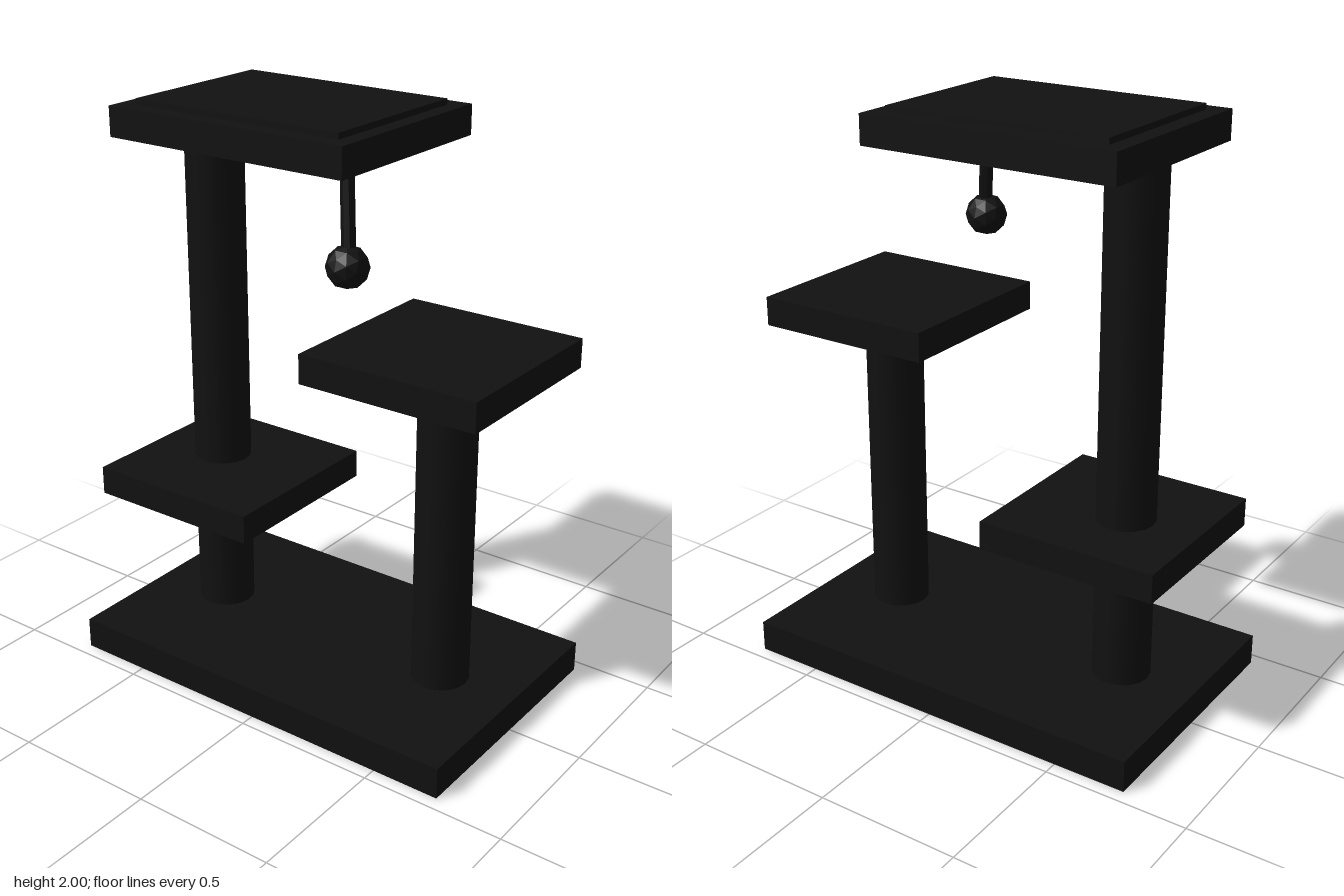
import * as THREE from 'three';

export function createModel() {
  const model = new THREE.Group();
  const material = new THREE.MeshStandardMaterial({ color: 0x111111 });
  const flat = new THREE.MeshStandardMaterial({ color: 0x111111, flatShading: true });

  const add = (name, geometry, mat = material) => {
    const mesh = new THREE.Mesh(geometry, mat);
    mesh.name = name;
    model.add(mesh);
    return mesh;
  };

  // Flat boards given by their extents
  const board = (name, [x0, x1], [y0, y1], [z0, z1]) =>
    add(name, new THREE.BoxGeometry(x1 - x0, y1 - y0, z1 - z0))
      .position.set((x0 + x1) / 2, (y0 + y1) / 2, (z0 + z1) / 2);

  board('base', [-0.755, 0.74], [0, 0.11], [-0.452, 0.452]);
  board('lowerPlatform', [-0.74, -0.1], [0.585, 0.685], [-0.29, 0.35]);
  board('sidePlatform', [0.11, 0.75], [1.2, 1.3], [-0.32, 0.32]);
  board('topPlatform', [-0.61, 0.295], [1.88, 1.98], [-0.35, 0.35]);
  board('topCushion', [-0.55, 0.24], [1.97, 2], [-0.29, 0.29]);

  // Round rod between two points
  const rod = (name, from, to, radius, sides, mat) => {
    const a = new THREE.Vector3(...from);
    const b = new THREE.Vector3(...to);
    const axis = b.clone().sub(a);
    const mesh = add(name, new THREE.CylinderGeometry(radius, radius, axis.length(), sides), mat);
    mesh.position.copy(a).add(b).multiplyScalar(0.5);
    mesh.quaternion.setFromUnitVectors(new THREE.Vector3(0, 1, 0), axis.normalize());
  };

  rod('tallPost', [-0.48, 0.1, 0], [-0.48, 1.89, 0], 0.1, 16);
  rod('shortPost', [0.46, 0.1, 0], [0.46, 1.21, 0], 0.1, 16);

  // Hanging toy
  rod('toyCord', [0.198, 1.58, 0.178], [0.167, 1.9, 0.148], 0.023, 8, flat);
  add('toyBall', new THREE.IcosahedronGeometry(0.07, 1), flat).position.set(0.195, 1.56, 0.18);

  return model;
}
